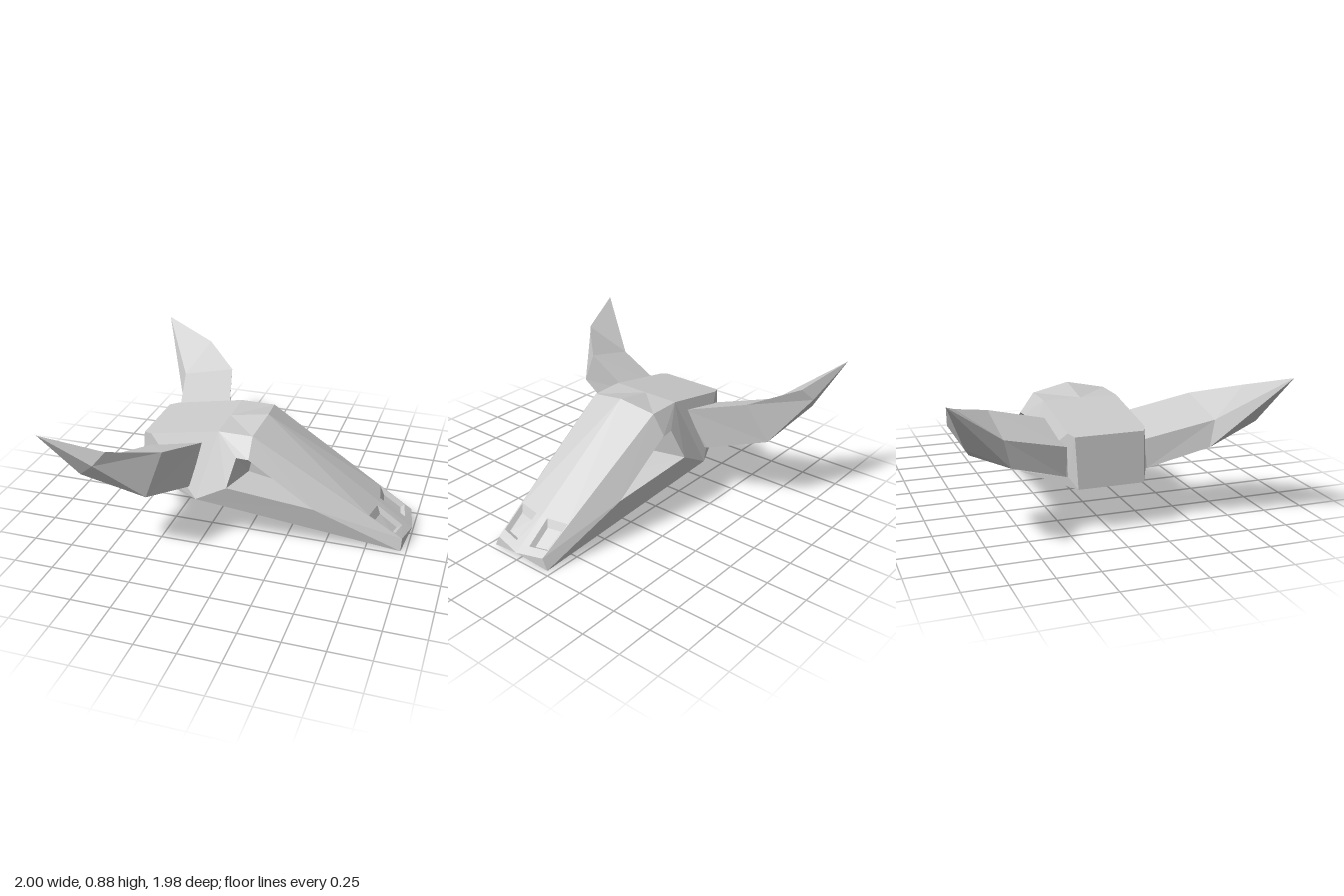
import * as THREE from 'three';

const material = new THREE.MeshStandardMaterial({ color: 0xcccccc, flatShading: true });

// Flat-shaded mesh from polygons given for +z; optionally mirrored to -z.
function facetMesh(name, polygons, sides) {
  const pos = [];
  for (const side of sides) {
    for (const p of polygons) {
      for (let i = 1; i < p.length - 1; i++) {
        const corners = side > 0 ? [p[0], p[i], p[i + 1]] : [p[0], p[i + 1], p[i]];
        for (const [x, y, z] of corners) pos.push(x, y, z * side);
      }
    }
  }
  const geometry = new THREE.BufferGeometry();
  geometry.setAttribute('position', new THREE.Float32BufferAttribute(pos, 3));
  geometry.computeVertexNormals();
  const mesh = new THREE.Mesh(geometry, material);
  mesh.name = name;
  return mesh;
}

const mix = (a, b, t) => a.map((v, i) => v + (b[i] - v) * t);

// Sloping walls from a rim to an inner loop, closed by a floor.
function recess(rim, inner) {
  const walls = rim.map((a, i) => {
    const j = (i + 1) % rim.length;
    return [a, rim[j], inner[j], inner[i]];
  });
  return [...walls, inner];
}

// Landmarks of one half of the skull
const browMid = [0.05, 0.705, 0], brow = [0.02, 0.66, 0.235];
const crownMid = [-0.2, 0.662, 0], crown = [-0.2, 0.662, 0.235];
const backTopMid = [-0.705, 0.57, 0], backTop = [-0.705, 0.57, 0.21];
const backLowMid = [-0.74, 0.27, 0], backLow = [-0.74, 0.27, 0.2];
const templeTop = [-0.65, 0.58, 0.235], templeLow = [-0.67, 0.33, 0.24];
const jaw = [-0.3, 0.258, 0.405], jawInner = [-0.29, 0.262, 0.23], jawMid = [-0.29, 0.262, 0];
const hollow = [-0.56, 0.34, 0.2], hollowMid = [-0.56, 0.34, 0];
const arch = [-0.1, 0.365, 0.395];
const rimBack = [-0.06, 0.54, 0.315], rimTop = [0.02, 0.54, 0.32], rimFront = [0.43, 0.26, 0.315];
const noseTip = [1, 0.05, 0], noseTop = [0.965, 0.07, 0.18], noseLow = [0.965, 0, 0.215];

function skullFaces() {
  return [
    // crown and back
    [crownMid, crown, brow, browMid],
    [backTopMid, backTop, templeTop, crown, crownMid],
    [backTopMid, backLowMid, backLow, backTop],
    // temple and cheek
    [backTop, backLow, templeLow, templeTop],
    [backLow, jaw, templeLow],
    [templeTop, templeLow, jaw, crown],
    [crown, jaw, arch],
    [crown, arch, rimBack],
    [crown, rimBack, rimTop, brow],
    [brow, rimTop, rimFront, noseTop],
    [noseTop, rimFront, noseLow],
    [jaw, noseLow, rimFront, arch],
    [noseTip, noseTop, noseLow],
    // underside with a shallow hollow behind the jaw
    [noseTip, noseLow, jawInner, jawMid],
    [noseLow, jaw, jawInner],
    [jawMid, jawInner, hollow, hollowMid],
    [hollow, jawInner, jaw, backLow],
    [hollowMid, hollow, backLow, backLowMid],
  ];
}

// Snout top: a widening central ridge, with a gap in the grid for the nostril
function snoutFaces() {
  const point = (s, line) => {
    const t = [0, 0.3 * s, 0.97, 1][line];
    return mix(mix(browMid, noseTip, s), mix(brow, noseTop, s), t);
  };
  const steps = [0, 0.775, 0.95, 1];
  const faces = [];
  for (let i = 0; i < 3; i++) {
    for (let j = 0; j < 3; j++) {
      const quad = [point(steps[i], j), point(steps[i], j + 1),
        point(steps[i + 1], j + 1), point(steps[i + 1], j)];
      if (i !== 1 || j !== 1) { faces.push(quad); continue; }
      const centre = mix(mix(quad[0], quad[2], 0.5), mix(quad[1], quad[3], 0.5), 0.5);
      const floor = quad.map((p) => mix(p, centre, 0.32)).map(([x, y, z]) => [x, y - 0.03, z]);
      faces.push(...recess(quad, floor));
    }
  }
  return faces;
}

// Horn sections: upper front, lower front, lower back, upper back
function hornFaces() {
  const root = [[-0.295, 0.577, 0.245], [-0.35, 0.33, 0.39], [-0.67, 0.33, 0.25], [-0.65, 0.5, 0.235]];
  const mid = [[-0.405, 0.69, 0.635], [-0.465, 0.45, 0.765], [-0.77, 0.45, 0.6], [-0.755, 0.61, 0.635]];
  const sections = [root.map(([x, y, z]) => [x, y, z - 0.1]), root, mid];
  const faces = [];
  for (let k = 0; k < 2; k++) {
    const [a, b] = [sections[k], sections[k + 1]];
    for (let i = 0; i < 4; i++) {
      const j = (i + 1) % 4;
      faces.push([a[i], b[i], b[j], a[j]]);
    }
  }
  // pointed end: three ridge corners, with a straight back edge to the tip
  const [upFront, lowFront, lowBack, upBack] = mid;
  const ridgeTop = [-0.645, 0.777, 0.875], ridgeOut = [-0.705, 0.705, 0.93], ridgeLow = [-0.82, 0.6, 0.865];
  const tip = [-1, 0.885, 0.99];
  faces.push(
    [upFront, ridgeTop, ridgeOut, lowFront],
    [lowFront, ridgeOut, ridgeLow, lowBack],
    [lowBack, ridgeLow, tip],
    [lowBack, tip, upBack],
    [upBack, tip, ridgeTop, upFront],
    [ridgeTop, tip, ridgeOut],
    [ridgeOut, tip, ridgeLow],
  );
  return faces;
}

export function createModel() {
  const group = new THREE.Group();
  group.name = 'hornedSkull';

  const socketRim = [rimBack, arch, rimFront, rimTop];
  const socketFloor = [[-0.01, 0.455, 0.16], [-0.03, 0.37, 0.16], [0.26, 0.315, 0.16], [0.04, 0.455, 0.16]];

  group.add(
    facetMesh('skull', skullFaces(), [1, -1]),
    facetMesh('snoutTop', snoutFaces(), [1, -1]),
    facetMesh('eyeSockets', recess(socketRim, socketFloor), [1, -1]),
    facetMesh('frontHorn', hornFaces(), [1]),
    facetMesh('backHorn', hornFaces(), [-1]),
  );
  return group;
}
